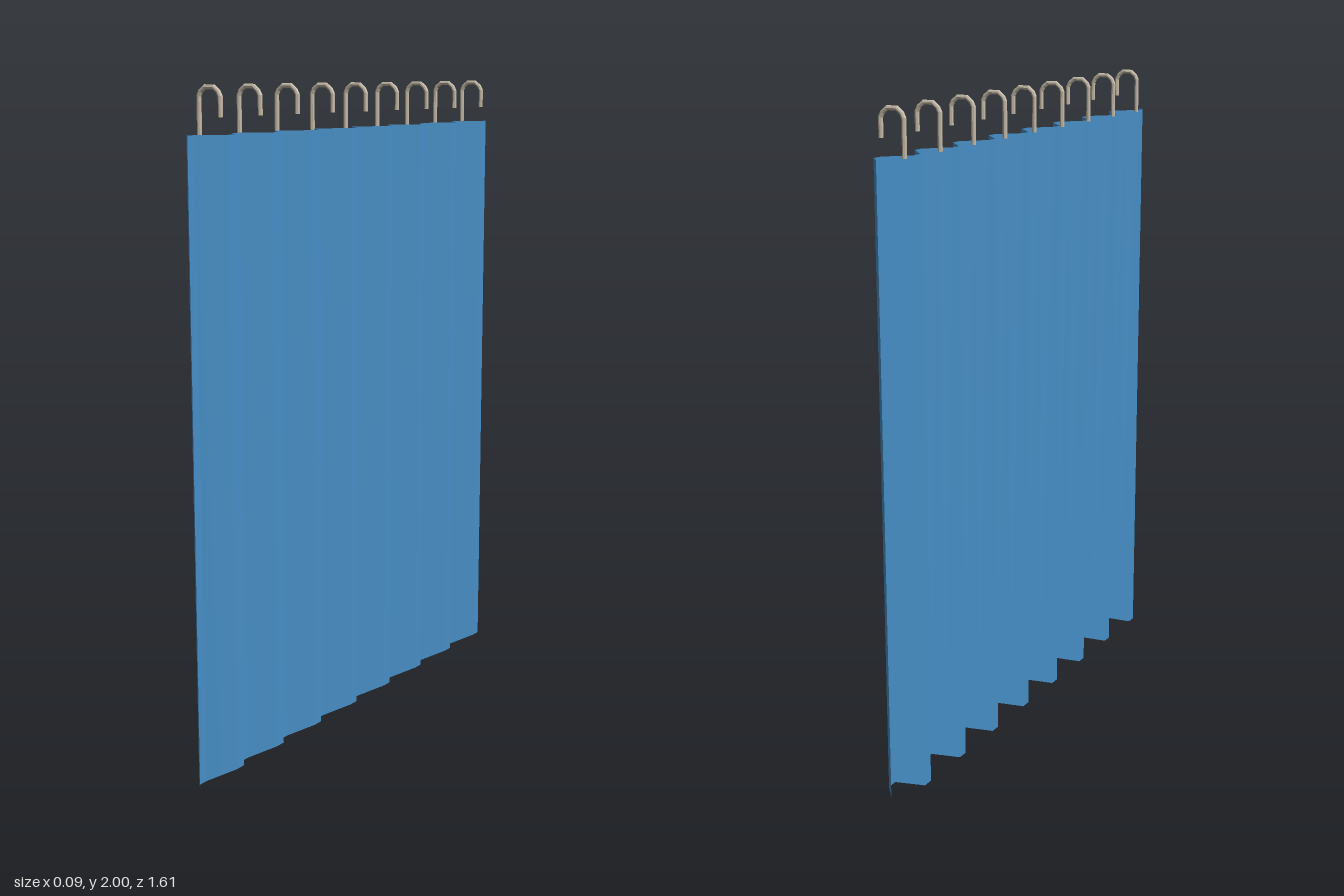
import * as THREE from 'three';

const fabric = new THREE.MeshStandardMaterial({ color: 0x4790c8, side: THREE.DoubleSide, flatShading: true });
fabric.name = 'blueFabric';
const metal = new THREE.MeshStandardMaterial({ color: 0xc2b8a6, flatShading: true });
metal.name = 'paleMetal';

const HALF = 0.804, TOP = 1.865, FOLDS = 8, STEPS = 6, DEPTH = 0.0303;

// Pleated sheet: six flat strips per fold, with a hem that dips on the -x folds
function pleatedSheet() {
  const n = FOLDS * STEPS;
  const geo = new THREE.PlaneGeometry(2 * HALF, TOP, n, 1);
  const pos = geo.attributes.position;
  for (let i = 0; i < pos.count; i++) {
    const col = i % (n + 1);
    const wave = Math.sin((col / STEPS) * Math.PI * 2) / Math.sin(Math.PI / 3);
    const hem = 0.0135 * (1 + wave);
    pos.setXYZ(i, DEPTH * wave, i > n ? hem : TOP, -HALF + (2 * HALF * col) / n);
  }
  geo.computeVertexNormals();
  return geo;
}

// Wire centreline: straight runs between corners
class BentWire extends THREE.Curve {
  constructor(points) {
    super();
    this.pts = points.map(([x, y]) => new THREE.Vector3(x, y, 0));
  }
  getPointAt(u) {
    return this.pts[Math.round(u * (this.pts.length - 1))].clone();
  }
  getTangentAt(u) {
    const last = this.pts.length - 1, i = Math.round(u * last);
    const a = this.pts[Math.max(i - 1, 0)], b = this.pts[i], c = this.pts[Math.min(i + 1, last)];
    const t = b.clone().sub(a).normalize().add(c.clone().sub(b).normalize());
    return t.normalize();
  }
}

const HOOK = [
  [-0.037, 1.862], [-0.037, 1.968], [-0.031, 1.981], [-0.016, 1.993],
  [0.014, 1.993], [0.029, 1.981], [0.036, 1.968], [0.036, 1.913],
];
const WIRE = 0.007;

export function createModel() {
  const model = new THREE.Group();
  model.name = 'curtain';

  const sheet = new THREE.Mesh(pleatedSheet(), fabric);
  sheet.name = 'pleatedCurtain';
  model.add(sheet);

  // Row of nine hooks along the top edge
  const wireGeo = new THREE.TubeGeometry(new BentWire(HOOK), HOOK.length - 1, WIRE, 8, false);
  const capGeo = new THREE.CircleGeometry(WIRE, 8).rotateX(Math.PI / 2);
  for (let i = 0; i < 9; i++) {
    const hook = new THREE.Group();
    hook.name = 'hook' + (i + 1);
    const wire = new THREE.Mesh(wireGeo, metal);
    wire.name = 'hookWire';
    hook.add(wire);
    for (const [x, y] of [HOOK[0], HOOK[HOOK.length - 1]]) {
      const cap = new THREE.Mesh(capGeo, metal);
      cap.name = 'hookEnd';
      cap.position.set(x, y, 0);
      hook.add(cap);
    }
    hook.position.z = -0.724 + i * 0.1787;
    model.add(hook);
  }
  return model;
}
